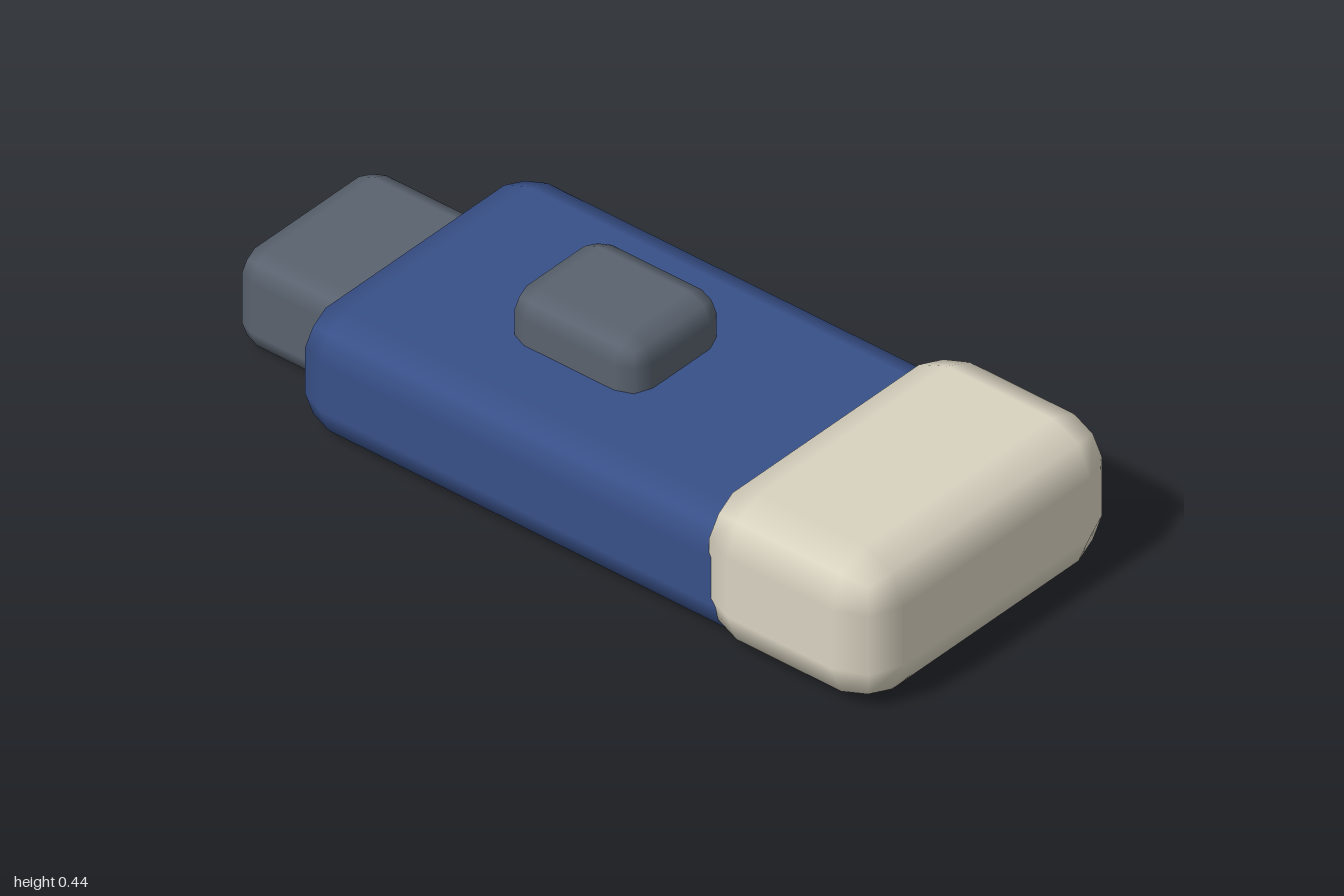
import * as THREE from 'three';
import { RoundedBoxGeometry } from 'three/addons/geometries/RoundedBoxGeometry.js';

function material(name, color) {
  const m = new THREE.MeshStandardMaterial({ color });
  m.name = name;
  return m;
}

// Soft-edged block centred on x, spanning the given y and z ranges
function block(name, mat, width, [y0, y1], [z0, z1], radius) {
  const mesh = new THREE.Mesh(new RoundedBoxGeometry(width, y1 - y0, z1 - z0, 1, radius), mat);
  mesh.position.set(0, (y0 + y1) / 2, (z0 + z1) / 2);
  mesh.name = name;
  return mesh;
}

export function createModel() {
  const cream = material('cream', 0xd8d2c0);
  const blue = material('blue', 0x385088);
  const steel = material('steelGrey', 0x59626e);

  const model = new THREE.Group();
  model.name = 'capsuleDevice';
  model.add(
    // Main slab; its front end is sunk into the cap
    block('body', blue, 0.796, [0, 0.318], [-0.7, 0.9], 0.096),
    // Chunky front cap, a hair above the body's underside
    block('frontCap', cream, 0.854, [0.001, 0.382], [0.476, 1], 0.112),
    // Narrow plug at the back
    block('rearPlug', steel, 0.472, [0.001, 0.255], [-1, -0.45], 0.06),
    // Raised button on top
    block('topButton', steel, 0.314, [0.2, 0.444], [-0.285, 0.094], 0.06)
  );
  return model;
}
